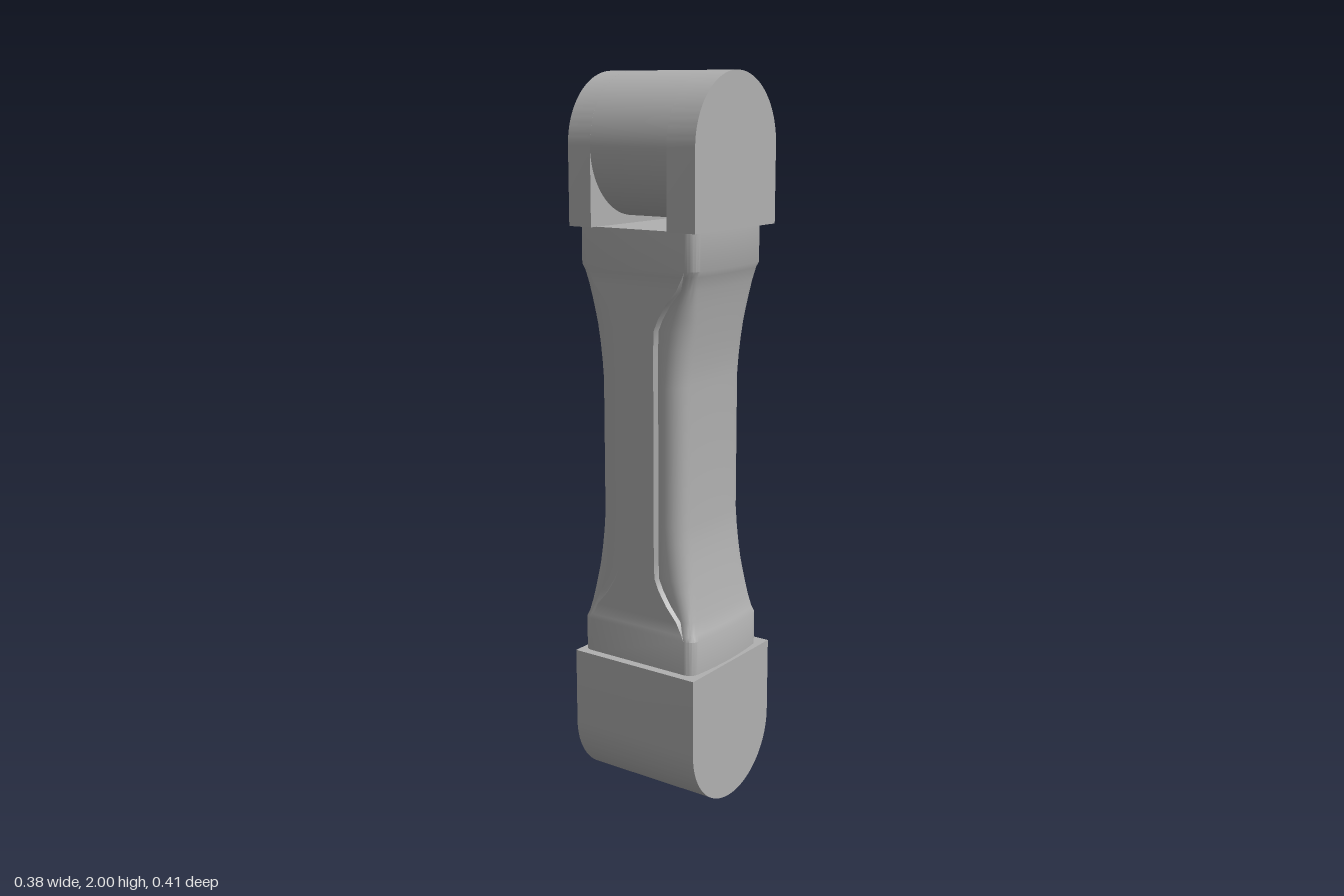
import * as THREE from 'three';
import { toCreasedNormals } from 'three/addons/utils/BufferGeometryUtils.js';

const R = 0.19; // radius of both rounded ends

// Round-topped block, flat edge at local y = 0, extruded from z0 to z1
function roundedBlock(height, z0, z1) {
  const s = new THREE.Shape();
  s.moveTo(-R, 0);
  s.lineTo(R, 0);
  s.lineTo(R, height - R);
  s.absarc(0, height - R, R, 0, Math.PI, false);
  s.closePath();
  const g = new THREE.ExtrudeGeometry(s, { depth: z1 - z0, bevelEnabled: false, curveSegments: 40 });
  g.translate(0, 0, z0);
  return toCreasedNormals(g, 0.5);
}

// Shaft half-stations: distance from mid-height, half depth, web half width, corner radius, side recess
const STATIONS = [
  [0.6, 0.198, 0.158, 0.03, 0],
  [0.5, 0.198, 0.158, 0.03, 0],
  [0.485, 0.191, 0.152, 0.03, 0.004],
  [0.45, 0.182, 0.134, 0.03, 0.01],
  [0.41, 0.174, 0.1, 0.037, 0.011],
  [0.37, 0.167, 0.075, 0.045, 0.011],
  [0.34, 0.162, 0.062, 0.05, 0.011],
  [0.29, 0.154, 0.06, 0.05, 0.011],
  [0.24, 0.148, 0.06, 0.05, 0.011],
  [0.19, 0.144, 0.06, 0.05, 0.011],
];

// Cross-section: flat web on the sides, small step, rounded corner, gently bowed front and back
function section([, half, web, r, recess]) {
  const X = 0.165 - recess;
  const zc = half - ((X - r) ** 2) / 2;
  const q = [[0.165, web], [X, Math.min(web + 0.008, zc - r)]];
  for (let i = 0; i <= 6; i++) {
    const a = (i / 6) * Math.PI / 2;
    q.push([X - r + r * Math.cos(a), zc - r + r * Math.sin(a)]);
  }
  for (const f of [0.75, 0.5, 0.25]) q.push([(X - r) * f, half - (((X - r) * f) ** 2) / 2]);
  const front = [...q, [0, half], ...q.slice().reverse().map(([x, z]) => [-x, z])];
  return [...front, ...front.map(([x, z]) => [-x, -z])];
}

function shaftGeometry() {
  const levels = [
    ...STATIONS.map((s) => [1 - s[0], s]),
    ...STATIONS.slice().reverse().map((s) => [1 + s[0], s]),
  ];
  const pos = [], idx = [];
  let n = 0;
  for (const [y, s] of levels) {
    const ring = section(s);
    n = ring.length;
    for (const [x, z] of ring) pos.push(x, y, z - 0.005);
  }
  // sides
  for (let k = 0; k < levels.length - 1; k++) {
    for (let j = 0; j < n; j++) {
      const a = k * n + j, b = k * n + (j + 1) % n;
      idx.push(a, a + n, b, b, a + n, b + n);
    }
  }
  // end caps
  const top = (levels.length - 1) * n, c = pos.length / 3;
  pos.push(0, 0.4, -0.005, 0, 1.6, -0.005);
  for (let j = 0; j < n; j++) {
    const m = (j + 1) % n;
    idx.push(c, j, m, c + 1, top + m, top + j);
  }
  const g = new THREE.BufferGeometry();
  g.setAttribute('position', new THREE.Float32BufferAttribute(pos, 3));
  g.setIndex(idx);
  return toCreasedNormals(g, 0.5);
}

export function createModel() {
  const model = new THREE.Group();
  model.name = 'gripLink';
  const grey = new THREE.MeshStandardMaterial({ color: 0xb0b0b0 });
  grey.name = 'grey';

  const add = (name, geometry, parent = model) => {
    const mesh = new THREE.Mesh(geometry, grey);
    mesh.name = name;
    parent.add(mesh);
    return mesh;
  };

  // lower rounded end, turned upside down
  const foot = add('lowerEnd', roundedBlock(0.405, -0.203, 0.2));
  foot.rotation.x = Math.PI;
  foot.position.y = 0.405;

  // waisted shaft with recessed grip panels
  add('shaft', shaftGeometry());

  // upper clevis: two cheeks joined by a round barrel
  const clevis = new THREE.Group();
  clevis.name = 'upperClevis';
  clevis.position.y = 1.6;
  model.add(clevis);
  add('frontCheek', roundedBlock(0.4, 0.116, 0.203), clevis);
  add('backCheek', roundedBlock(0.4, -0.2, -0.127), clevis);
  const barrel = new THREE.CylinderGeometry(R, R, 0.243, 80, 1, true);
  barrel.rotateX(Math.PI / 2);
  add('barrel', barrel, clevis).position.set(0, 0.4 - R, -0.0055);

  return model;
}
